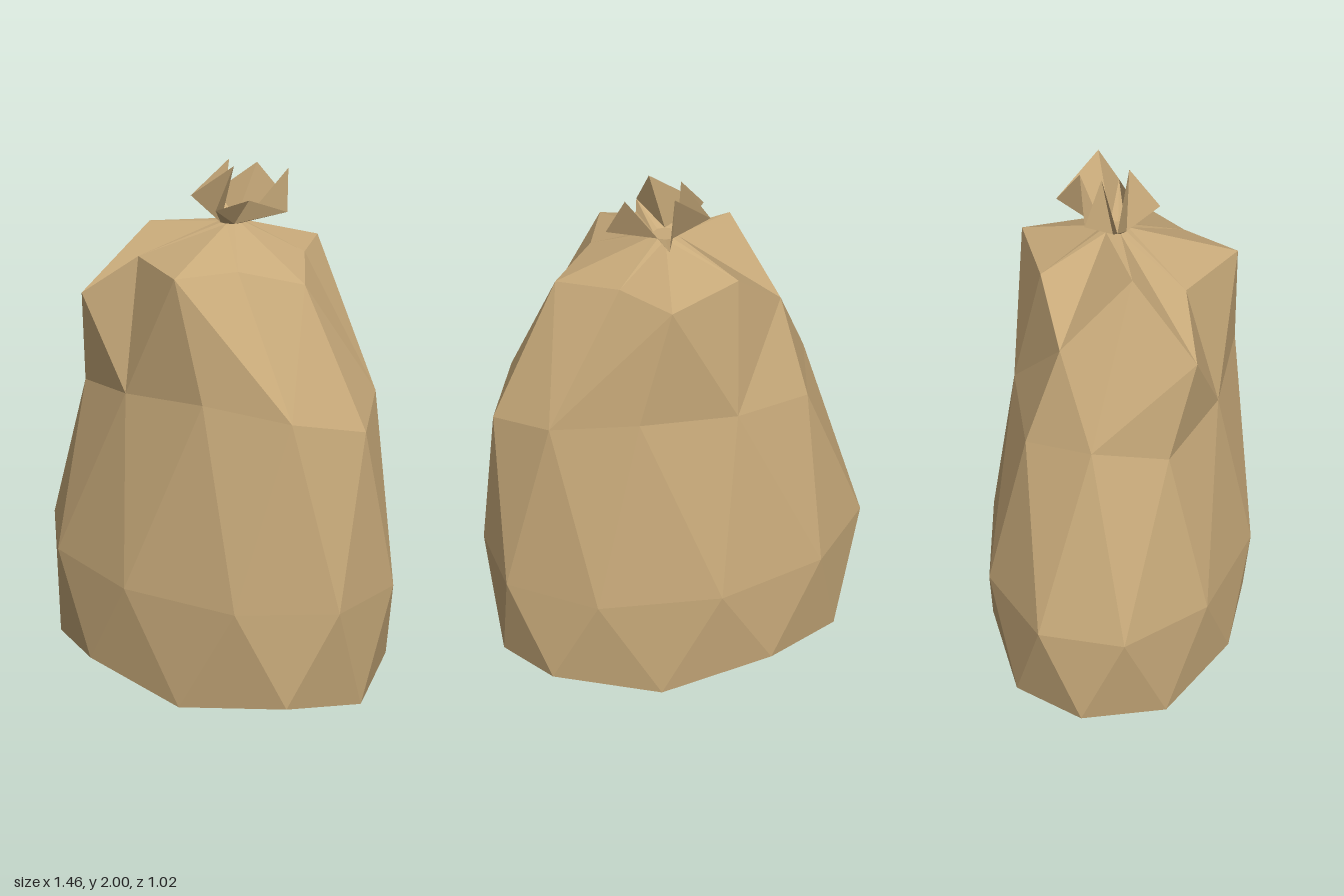
import * as THREE from 'three';

const tan = new THREE.MeshStandardMaterial({ color: 0xc8aa7a, flatShading: true });
tan.name = 'tan cloth';
const tanOpen = new THREE.MeshStandardMaterial({ color: 0xc8aa7a, flatShading: true, side: THREE.DoubleSide });
tanOpen.name = 'tan cloth open edge';

const mirrorZ = ([x, y, z]) => [x, y, -z];

function facetMesh(name, triangles, material) {
  const geometry = new THREE.BufferGeometry();
  geometry.setAttribute('position', new THREE.Float32BufferAttribute(triangles.flat(2), 3));
  geometry.computeVertexNormals();
  const mesh = new THREE.Mesh(geometry, material);
  mesh.name = name;
  return mesh;
}

// Ten-sided cross-sections, running from +x towards +z
const half = (pts) => [...pts, ...pts.slice(1, 5).reverse().map(mirrorZ)];
const base = half([[0.71, 0.07, 0], [0.6, 0.13, 0.3], [0.22, 0.07, 0.46],
  [-0.22, 0.13, 0.47], [-0.56, 0.07, 0.29], [-0.73, 0.13, 0]]);
const bellyHalf = [[0.725, 0.5, 0.16], [0.45, 0.5, 0.415], [0, 0.5, 0.51],
  [-0.435, 0.5, 0.415], [-0.71, 0.5, 0.16]];
const belly = [...bellyHalf, ...[...bellyHalf].reverse().map(mirrorZ)];
const chest = half([[0.7, 1.14, 0], [0.56, 1.2, 0.24], [0.27, 1.24, 0.38],
  [-0.1, 1.2, 0.38], [-0.42, 1.15, 0.26], [-0.51, 1.2, 0]]);
// Pinched shoulder: ridges and valleys alternate
const shoulder = [[0.44, 1.635, 0.03], [0.26, 1.68, 0.18], [0.155, 1.68, 0.395],
  [-0.14, 1.68, 0.26], [-0.35, 1.52, 0.34], [-0.24, 1.76, 0.09], [-0.35, 1.51, -0.145],
  [-0.14, 1.68, -0.26], [0.155, 1.68, -0.4], [0.27, 1.68, -0.18]];
const neckCentre = [0.05, 1.785, -0.03];
const neck = shoulder.map((_, i) => {
  const a = (i * Math.PI) / 5;
  return [neckCentre[0] + 0.045 * Math.cos(a), 1.785, neckCentre[2] + 0.045 * Math.sin(a)];
});
const floorRing = { 1: [0.36, 0.02, 0.17], 3: [-0.13, 0.02, 0.28], 5: [-0.42, 0.02, 0],
  7: [-0.13, 0.02, -0.28], 9: [0.36, 0.02, -0.17] };

// Joins two aligned rings, with diagonals meeting at the ridges
function pleats(low, high) {
  const out = [];
  for (let i = 0; i < 10; i++) {
    const j = (i + 1) % 10;
    if (i % 2 === 0) out.push([low[i], high[i], low[j]], [low[j], high[i], high[j]]);
    else out.push([low[i], high[i], high[j]], [low[i], high[j], low[j]]);
  }
  return out;
}

export function createModel() {
  const group = new THREE.Group();
  group.name = 'sack';

  // Underside and body, ring by ring
  const bottom = [];
  const body = [];
  for (let i = 0; i < 10; i++) {
    const j = (i + 1) % 10;
    const h = (i + 9) % 10;
    if (i % 2) {
      const d = floorRing[i];
      const next = floorRing[(i + 2) % 10];
      bottom.push([d, base[h], base[i]], [d, base[i], base[j]], [d, base[j], next], [[0, 0, 0], d, next]);
    }
    body.push([base[i], belly[i], base[j]], [base[i], belly[h], belly[i]]);
    body.push([belly[i], chest[j], belly[j]], [belly[i], chest[i], chest[j]]);
  }
  group.add(facetMesh('sackBottom', bottom, tan));
  group.add(facetMesh('sackBody', body, tan));

  // Folded shoulder gathered into the tied neck
  const top = [...pleats(chest, shoulder), ...pleats(shoulder, neck)];
  neck.forEach((p, i) => top.push([p, neckCentre, neck[(i + 1) % 10]]));
  group.add(facetMesh('sackShoulder', top, tan));

  // Flared cloth above the tie: low outer corners between upright tips
  const ruffle = [[0.28, 1.85, -0.065], [0.15, 1.88, -0.01], [0.105, 1.86, 0.12],
    [0.095, 2, 0.01], [-0.11, 1.86, 0.01], [0.005, 2, -0.07], [-0.09, 1.86, -0.11],
    [0.06, 1.98, -0.16], [0.115, 1.84, -0.26], [0.23, 1.99, -0.13]];
  group.add(facetMesh('ruffle', pleats(neck, ruffle), tanOpen));
  return group;
}
